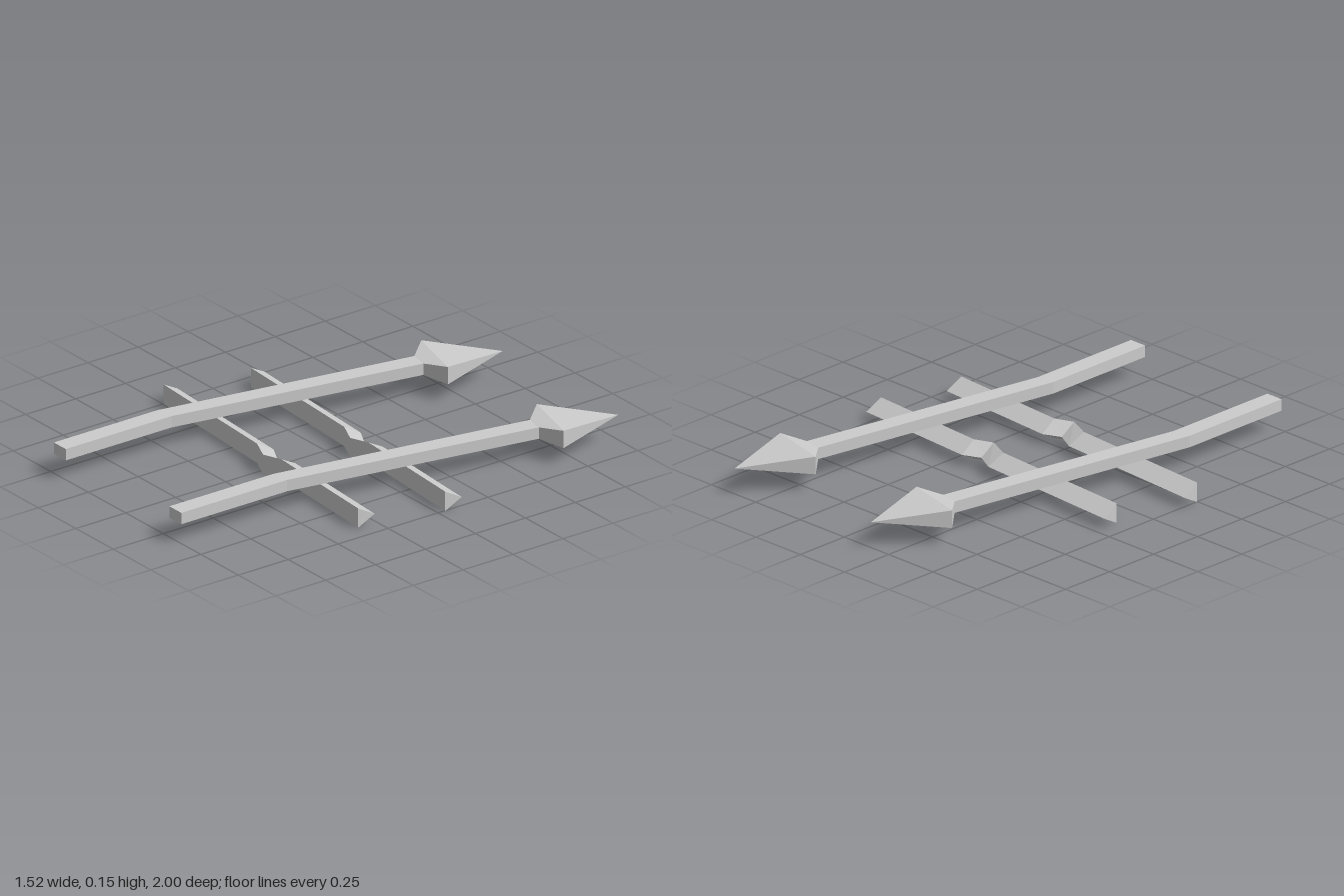
import * as THREE from 'three';

const grey = new THREE.MeshStandardMaterial({ color: 0xcccccc });
grey.name = 'grey';

// Skin a list of matching rings [x, y, z], closing both ends, with hard edges
function loft(rings) {
  const pos = [];
  const tri = (a, b, c) => pos.push(...a, ...b, ...c);
  const n = rings[0].length;
  for (let i = 0; i < rings.length - 1; i++) {
    for (let j = 0; j < n; j++) {
      const k = (j + 1) % n;
      const [a, b, c, d] = [rings[i][j], rings[i][k], rings[i + 1][k], rings[i + 1][j]];
      tri(a, b, c);
      tri(a, c, d);
    }
  }
  const first = rings[0], last = rings[rings.length - 1];
  for (let j = 1; j < n - 1; j++) {
    tri(first[0], first[j + 1], first[j]);
    tri(last[0], last[j], last[j + 1]);
  }
  const geo = new THREE.BufferGeometry();
  geo.setAttribute('position', new THREE.Float32BufferAttribute(pos, 3));
  geo.computeVertexNormals();
  return geo;
}

function part(name, rings) {
  const mesh = new THREE.Mesh(loft(rings), grey);
  mesh.name = name;
  return mesh;
}

// Four-cornered section between a left and a right edge point
const quad = (lx, lz, rx, rz, y0, y1) =>
  [[lx, y0, lz], [lx, y1, lz], [rx, y1, rz], [rx, y0, rz]];

// Triangular section: upright front face, ridge at the back
const wedge = ([fx, fz, bx, bz]) => [[fx, 0.085, fz], [fx, 0, fz], [bx, 0.043, bz]];

export function createModel() {
  const model = new THREE.Group();
  model.name = 'crossedArrows';

  // Two bent arrows lying on the crossbars
  for (const [name, x] of [['rightArrow', 0], ['leftArrow', 0.77]]) {
    const arrow = new THREE.Group();
    arrow.name = name;
    arrow.position.x = x;
    const neck = quad(-0.28, -0.655, -0.2, -0.64, 0.085, 0.135);
    arrow.add(part('shaft', [
      quad(-0.48, 1, -0.4, 1, 0.085, 0.135),
      quad(-0.48, 0.48, -0.4, 0.47, 0.085, 0.135),
      neck,
    ]));
    arrow.add(part('arrowHead', [
      neck,
      quad(-0.36, -0.75, -0.09, -0.68, 0.072, 0.149),
      quad(-0.15, -1, -0.15, -1, 0.11, 0.11),
    ]));
    model.add(arrow);
  }

  // Two kinked crossbars: front edge x, z and back ridge x, z along each
  const barPath = [
    [-0.75, 0.247, -0.762, 0.17],
    [-0.07, 0.29, -0.06, 0.215],
    [0.03, 0.335, 0.025, 0.26],
    [0.11, 0.303, 0.1, 0.226],
    [0.673, 0.342, 0.68, 0.265],
  ];
  for (const [name, x, z] of [['frontCrossbar', 0, 0], ['backCrossbar', 0.08, -0.376]]) {
    const bar = part(name, barPath.map(wedge));
    bar.position.set(x, 0, z);
    model.add(bar);
  }
  return model;
}
